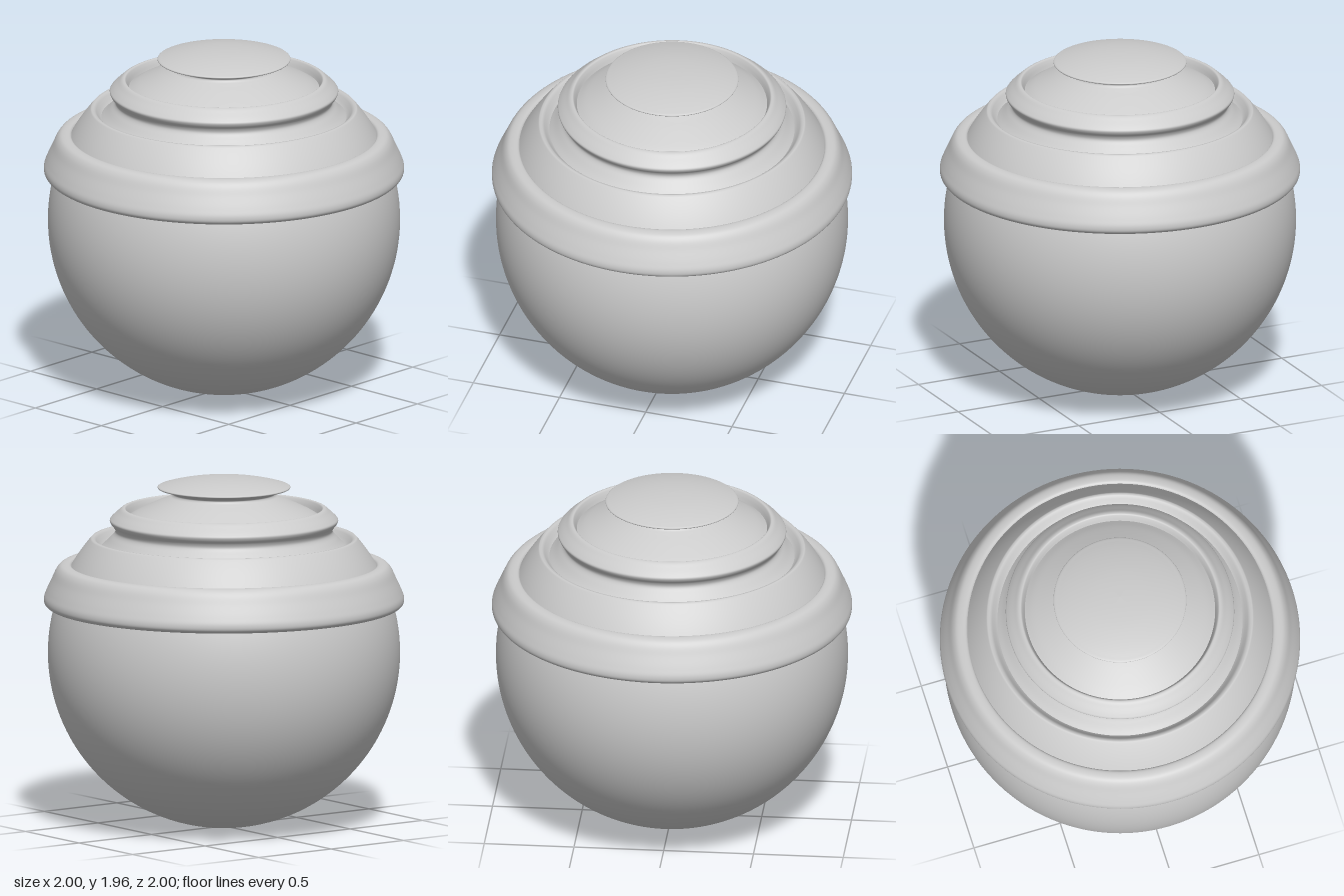
import * as THREE from 'three';

const SEGMENTS = 128;
const material = new THREE.MeshStandardMaterial({ color: 0xcccccc, side: THREE.DoubleSide });

// Surface of revolution from [radius, height] pairs; smooth > 0 splines the profile
function turned(name, profile, smooth = 0) {
  let points = profile.map(([r, y]) => new THREE.Vector2(r, y));
  if (smooth) points = new THREE.CatmullRomCurve3(
    points.map(p => new THREE.Vector3(p.x, p.y, 0)), false, 'centripetal'
  ).getPoints(smooth).map(p => new THREE.Vector2(Math.max(p.x, 0), p.y));
  const mesh = new THREE.Mesh(new THREE.LatheGeometry(points, SEGMENTS), material);
  mesh.name = name;
  return mesh;
}

// Profile of a sphere resting on the ground, between two polar angles from the bottom
function arc(radius, from, to, steps) {
  return Array.from({ length: steps + 1 }, (_, i) => {
    const a = from + (to - from) * i / steps;
    return [radius * Math.sin(a), radius * (1 - Math.cos(a))];
  });
}

export function createModel() {
  const group = new THREE.Group();
  group.name = 'tieredBall';
  const R = 0.977;
  const angleAt = y => Math.acos(1 - y / R);

  group.add(
    // Round bowl
    turned('bowl', arc(R, 0, angleAt(1.25), 48)),

    // Wide sloping collar with rounded lips
    turned('collar', [
      [0.93, 1.25], [0.95, 1.236], [0.98, 1.241], [0.997, 1.258], [0.999, 1.285],
      [0.985, 1.325], [0.955, 1.39], [0.928, 1.445], [0.905, 1.467],
      [0.87, 1.474], [0.853, 1.47], [0.842, 1.455],
    ], 64),

    // Lower tier follows the ball, then rolls into a groove
    turned('lowerTier', [
      ...arc(R, angleAt(1.455), angleAt(1.612), 12),
      [0.735, 1.62], [0.722, 1.619], [0.708, 1.607], [0.695, 1.585], [0.68, 1.572],
    ]),

    // Flared neck and upper tier with an overhanging rim
    turned('upperTier', [
      [0.68, 1.572], [0.655, 1.594], [0.63, 1.62], [0.608, 1.645], [0.603, 1.66],
      [0.61, 1.68], [0.628, 1.702], [0.634, 1.72], [0.622, 1.736],
      [0.59, 1.765], [0.565, 1.785], [0.55, 1.787], [0.54, 1.772], [0.528, 1.74],
    ], 64),

    // Shallow dome narrowing to the button's neck
    turned('dome', [
      [0.528, 1.74], [0.49, 1.763], [0.44, 1.788], [0.37, 1.82], [0.31, 1.845],
      [0.288, 1.856], [0.283, 1.868], [0.3, 1.88],
    ], 48),

    // Thin-edged top button
    turned('topButton', [
      [0.3, 1.88], [0.345, 1.892], [0.368, 1.901], [0.368, 1.907],
      [0.34, 1.917], [0.27, 1.934], [0.18, 1.949], [0.09, 1.957], [0, 1.96],
    ], 48),
  );
  return group;
}
